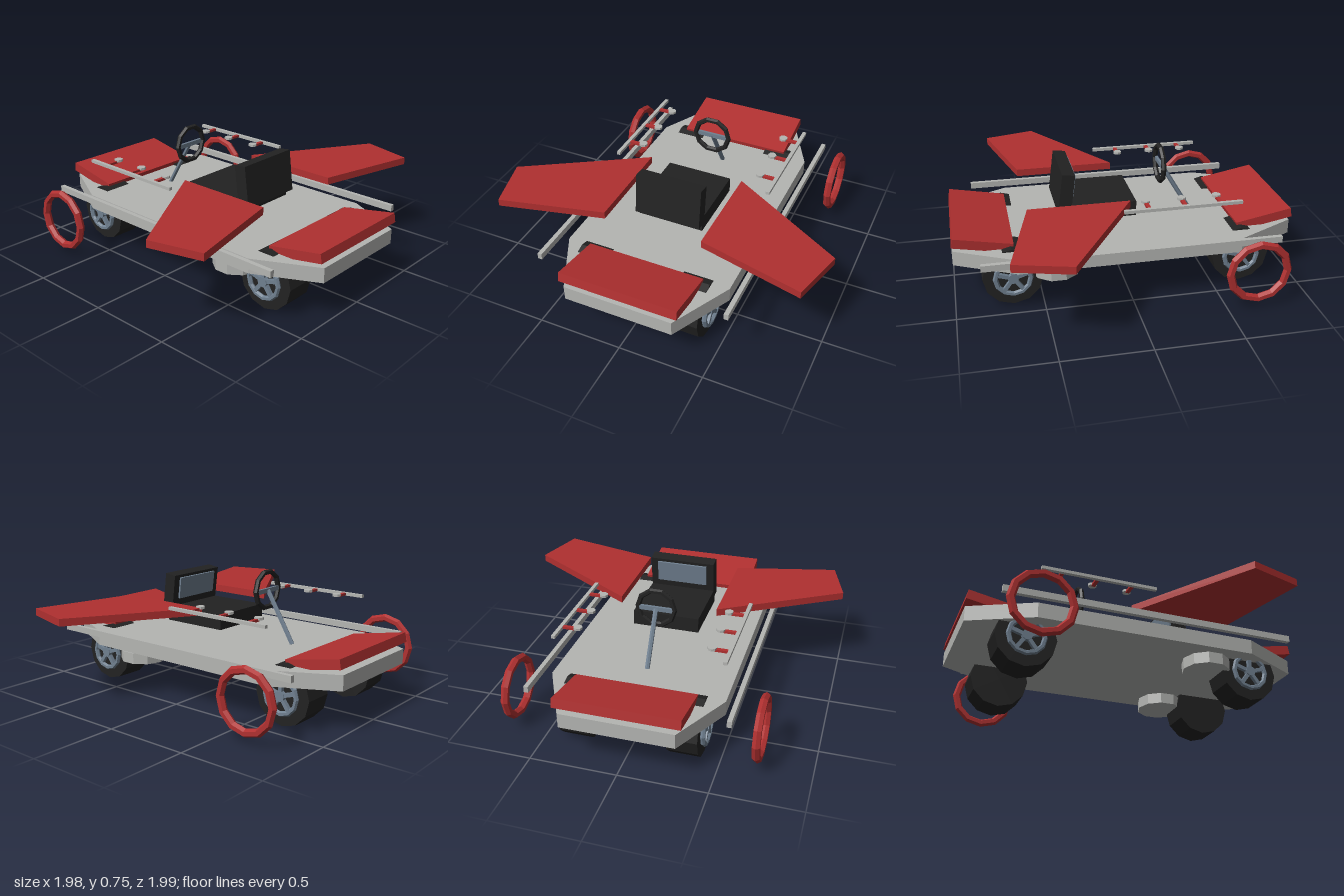
import * as THREE from 'three';

const mat = (name, color) => {
  const m = new THREE.MeshStandardMaterial({ color });
  m.name = name;
  m.flatShading = true;
  return m;
};

export function createModel() {
  const model = new THREE.Group();
  model.name = 'wingedKart';
  const red = mat('red', 0xb03030);
  const grey = mat('lightGrey', 0xb4b5b2);
  const black = mat('black', 0x222222);
  const steel = mat('steel', 0x708090);

  const add = (name, geometry, material, x = 0, y = 0, z = 0, parent = model) => {
    const mesh = new THREE.Mesh(geometry, material);
    mesh.name = name;
    mesh.position.set(x, y, z);
    parent.add(mesh);
    return mesh;
  };
  const box = (w, h, d) => new THREE.BoxGeometry(w, h, d);
  // Horizontal plate from an outline of (x, z) points; top face at y = 0
  const plate = (points, thickness) => {
    const shape = new THREE.Shape(points.map(([x, z]) => new THREE.Vector2(x, z)));
    return new THREE.ExtrudeGeometry(shape, { depth: thickness, bevelEnabled: false }).rotateX(Math.PI / 2);
  };

  // Chassis with cut corners
  add('chassis', plate([
    [0.32, 0.995], [0.5, 0.64], [0.5, -0.64], [0.32, -0.995],
    [-0.32, -0.995], [-0.5, -0.64], [-0.5, 0.64], [-0.32, 0.995],
  ], 0.087), grey, 0, 0.33, 0);

  // Tilted flaps at both ends
  for (const end of [1, -1]) {
    const flap = add(end > 0 ? 'frontFlap' : 'rearFlap', box(0.7, 0.055, 0.34), red, 0, 0.36, end * 0.825);
    flap.rotation.x = -end * 0.185;
  }

  // Seat, leaning back rest and its panel
  add('seatBase', box(0.4, 0.09, 0.415), black, 0, 0.438, 0.125);
  const back = new THREE.Group();
  back.name = 'seatBack';
  back.position.set(0, 0.556, 0.327);
  back.rotation.x = -0.125;
  model.add(back);
  add('backRest', box(0.4, 0.245, 0.075), black, 0, 0, 0, back);
  add('backPanel', box(0.31, 0.13, 0.012), steel, 0, 0.04, -0.043, back);

  // Steering wheel, cross bar and column
  add('steeringWheel', new THREE.TorusGeometry(0.108, 0.016, 6, 10), black, 0, 0.628, -0.27);
  add('steeringBar', box(0.2, 0.026, 0.016), steel, 0, 0.625, -0.275);
  const column = add('steeringColumn', new THREE.CylinderGeometry(0.014, 0.014, 0.345, 6), steel, 0, 0.478, -0.365);
  column.rotation.x = Math.atan2(0.18, 0.3);

  for (const side of [1, -1]) {
    const label = side > 0 ? 'left' : 'right';

    // Swept wing
    add(label + 'Wing', plate([
      [side * 0.295, -0.025], [side * 0.99, 0.4], [side * 0.905, 0.712], [side * 0.295, 0.565],
    ], 0.043), red, 0, 0.534, 0);

    // Long side rail and short upper rail with its pegs
    add(label + 'SideRail', box(0.026, 0.037, 1.7), grey, side * 0.563, 0.34, 0);
    add(label + 'UpperRail', box(0.022, 0.018, 0.68), grey, side * 0.484, 0.556, -0.288);
    for (const z of [-0.505, -0.3, -0.092]) {
      add(label + 'Peg', box(0.08, 0.014, 0.022), red, side * 0.437, 0.557, z);
      add(label + 'PegKnob', new THREE.CylinderGeometry(0.026, 0.026, 0.014, 8), grey, side * 0.385, 0.564, z);
    }

    // Ring beside the rear wheel
    add(label + 'Ring', new THREE.TorusGeometry(0.167, 0.024, 6, 12).rotateY(Math.PI / 2), red, side * 0.705, 0.222, -0.67);

    // Round pod under the chassis
    add(label + 'Pod', new THREE.CylinderGeometry(0.14, 0.14, 0.066, 10), grey, side * 0.336, 0.194, 0.42);

    // Wheels with five-spoke rims
    for (const z of [0.67, -0.67]) {
      const wheel = new THREE.Group();
      wheel.name = label + (z > 0 ? 'FrontWheel' : 'RearWheel');
      wheel.position.set(side * 0.308, 0.172, z);
      model.add(wheel);
      add('tyre', new THREE.CylinderGeometry(0.172, 0.172, 0.175, 12).rotateZ(Math.PI / 2), black, 0, 0, 0, wheel);
      add('rim', new THREE.TorusGeometry(0.1, 0.015, 6, 12).rotateY(Math.PI / 2), steel, side * 0.1, 0, 0, wheel);
      add('hub', new THREE.CylinderGeometry(0.03, 0.03, 0.03, 10).rotateZ(Math.PI / 2), steel, side * 0.1, 0, 0, wheel);
      for (let i = 0; i < 5; i++) {
        const spoke = box(0.024, 0.085, 0.022).translate(0, 0.06, 0).rotateX((i * Math.PI * 2) / 5);
        add('spoke', spoke, steel, side * 0.098, 0, 0, wheel);
      }
    }
  }
  return model;
}
